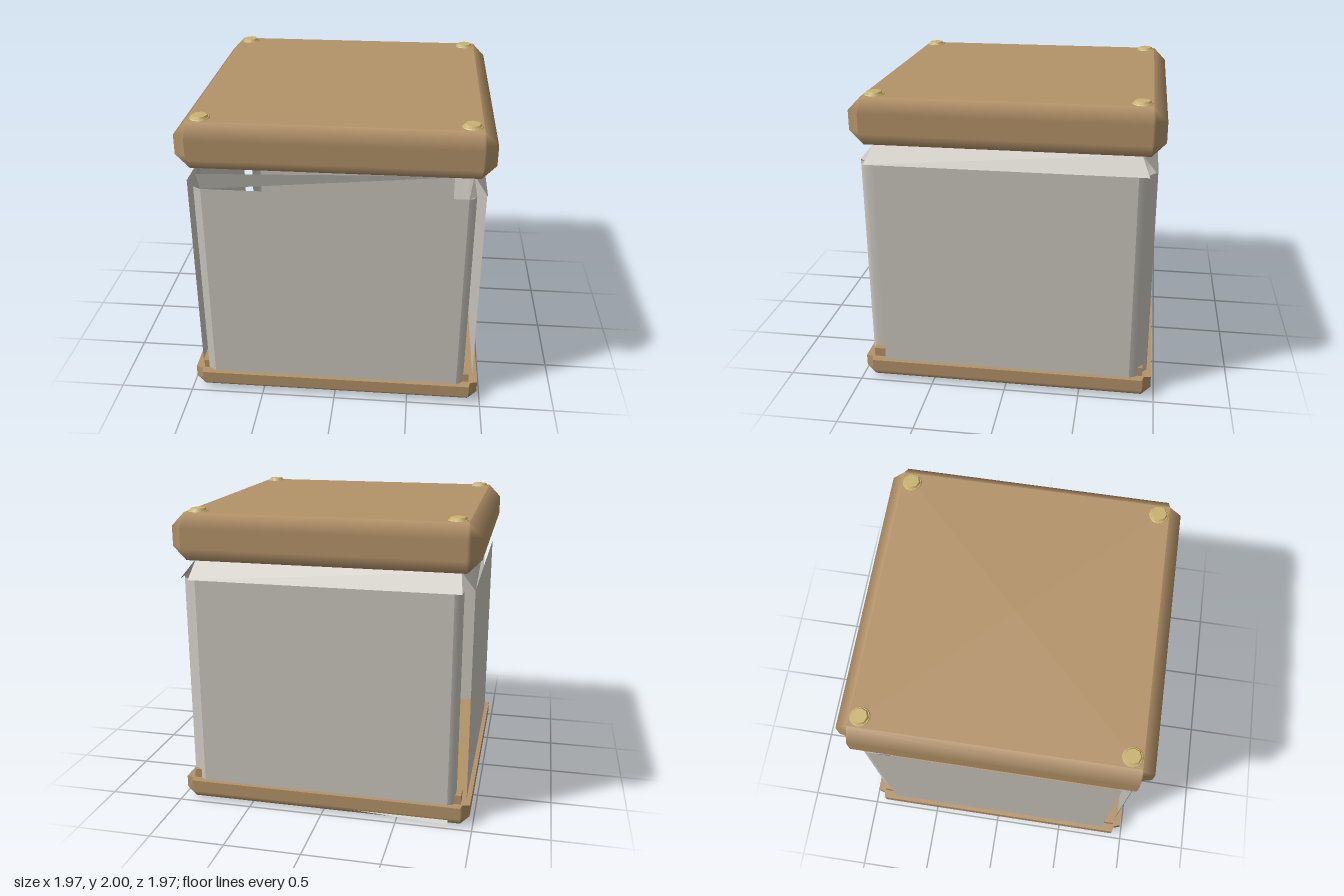
import * as THREE from 'three';

const wood = new THREE.MeshStandardMaterial({ color: 0xb39268 });
wood.name = 'wood';
const sheet = new THREE.MeshStandardMaterial({ color: 0xcac6be, side: THREE.DoubleSide });
sheet.name = 'grey sheet';
const brass = new THREE.MeshStandardMaterial({ color: 0xc9b26f });
brass.name = 'brass';

function geometry(pos, index, normals) {
  const g = new THREE.BufferGeometry();
  g.setAttribute('position', new THREE.Float32BufferAttribute(pos, 3));
  g.setIndex(index);
  if (normals) g.setAttribute('normal', new THREE.Float32BufferAttribute(normals, 3));
  else g.computeVertexNormals();
  return g;
}

function add(parent, name, geo, material) {
  const mesh = new THREE.Mesh(geo, material);
  mesh.name = name;
  parent.add(mesh);
  return mesh;
}

// Outline of a square slab whose four sides flare out, leaving notched corners.
function outline(half, flare) {
  const mid = half + (flare - half) * 0.2;
  const corner = [[flare, half, 1, 0], [mid, mid, 0.707, 0.707], [half, flare, 0, 1]];
  const pts = [];
  for (let q = 0; q < 4; q++) {
    const c = [1, 0, -1, 0][q], s = [0, 1, 0, -1][q];
    for (const [x, z, nx, nz] of corner) {
      pts.push([x * c - z * s, x * s + z * c, nx * c - nz * s, nx * s + nz * c]);
    }
  }
  return pts;
}

// Slab from rings [y, half, flare, normalY], with soft shading on the bevels.
function slab(rings) {
  const pos = [], nor = [], idx = [], n = 12;
  for (const [y, half, flare, ny] of rings) {
    for (const [x, z, nx, nz] of outline(half, flare)) {
      pos.push(x, y, z);
      const k = ny ? 0.5 : 1;
      const v = new THREE.Vector3(nx * k, ny, nz * k).normalize();
      nor.push(v.x, v.y, v.z);
    }
  }
  for (let k = 0; k < rings.length - 1; k++) {
    for (let i = 0; i < n; i++) {
      const a = k * n + i, b = k * n + (i + 1) % n;
      idx.push(a, a + n, b + n, a, b + n, b);
    }
  }
  // Flat caps
  for (const [ring, up] of [[rings[0], -1], [rings[rings.length - 1], 1]]) {
    const c = pos.length / 3;
    pos.push(0, ring[0], 0);
    nor.push(0, up, 0);
    for (const [x, z] of outline(ring[1], ring[2])) {
      pos.push(x, ring[0], z);
      nor.push(0, up, 0);
    }
    for (let i = 0; i < n; i++) {
      const a = c + 1 + i, b = c + 1 + (i + 1) % n;
      if (up > 0) idx.push(c, b, a);
      else idx.push(c, a, b);
    }
  }
  return geometry(pos, idx, nor);
}

// Upright thin sheet following a path of [x, z] points.
function upright(path, y0, y1) {
  const pos = [], idx = [];
  path.forEach(([x, z], i) => {
    pos.push(x, y0, z, x, y1, z);
    if (i) {
      const a = 2 * i - 2;
      idx.push(a, a + 2, a + 3, a, a + 3, a + 1);
    }
  });
  return geometry(pos, idx);
}

// Flat polygon as a fan of triangles.
function polygon(points) {
  const idx = [];
  for (let i = 1; i < points.length - 1; i++) idx.push(0, i, i + 1);
  return geometry(points.flat(), idx);
}

export function createModel() {
  const model = new THREE.Group();
  model.name = 'box';

  // Wooden lid and base
  add(model, 'lid', slab([
    [1.67, 0.9, 0.9, -1], [1.76, 0.9, 0.987, 0], [1.89, 0.9, 0.987, 0], [1.98, 0.9, 0.9, 1],
  ]), wood);
  add(model, 'base', slab([
    [0, 0.918, 0.918, -1], [0.062, 0.918, 0.978, 0], [0.14, 0.918, 0.978, 0],
  ]), wood);

  // Corner blocks and lid studs
  for (const sx of [-1, 1]) {
    for (const sz of [-1, 1]) {
      const block = add(model, 'cornerBlock', new THREE.BoxGeometry(0.09, 0.08, 0.09), wood);
      block.position.set(sx * 0.873, 0.16, sz * 0.873);
      const stud = new THREE.Group();
      stud.name = 'stud';
      stud.position.set(sx * 0.83, 0, sz * 0.832);
      model.add(stud);
      add(stud, 'studRim', new THREE.CylinderGeometry(0.06, 0.073, 0.015, 12), brass).position.y = 1.979;
      add(stud, 'studHead', new THREE.CylinderGeometry(0.048, 0.058, 0.016, 8), brass).position.y = 1.992;
    }
  }

  // Side panels
  const low = 0.14, top = 1.55, w = 0.833, d = 0.948;
  const panels = {
    frontPanel: [[-w, d], [w, d]],
    rightPanel: [[d, w], [d, -w]],
    backPanel: [[w, -d], [-w, -d]],
    leftPanel: [[-d, -w], [-d, w]],
  };
  for (const [name, path] of Object.entries(panels)) add(model, name, upright(path, low, top), sheet);

  // Bent strips at the upright corners
  const bends = [
    [[w, d], [0.865, 0.935], [0.882, 0.9], [0.882, w]],
    [[-w, -d], [-0.865, -0.935], [-0.882, -0.9], [-0.882, -w]],
    [[d, -w], [0.93, -0.875], [0.87, -0.918]],
    [[0.87, -0.918], [w, -d]],
    [[-0.885, 0.918], [-w, d]],
  ];
  for (const path of bends) add(model, 'cornerBend', upright(path, low, top), sheet);

  // Folded upper edges: three lean inward, the front one is twisted
  const t = 1.668, e = 0.845;
  add(model, 'rightFold', polygon([[d, top, 0.9], [d, top, -0.9], [0.86, t, -e], [0.86, t, e]]), sheet);
  add(model, 'leftFold', polygon([[-d, top, -w], [-0.885, top, 0.91], [-0.86, t, e], [-0.86, t, -e]]), sheet);
  add(model, 'backFold', polygon([[0.88, top, -d], [-0.88, top, -d], [-0.86, t, -e], [0.86, t, -e]]), sheet);
  add(model, 'frontFold', polygon([[-w, top, d], [0.86, t - 0.01, e], [-0.85, t - 0.005, 0.97]]), sheet);
  add(model, 'frontFoldCorner', polygon([[w, top, d], [0.882, top, 0.9], [0.86, t, e]]), sheet);

  // Loose sliver of sheet under the rear edge of the base
  add(model, 'rearSliver', polygon([[0.3, 0.05, -0.93], [-0.84, 0.008, -0.97], [-0.84, 0.06, -0.93]]), sheet);

  return model;
}
